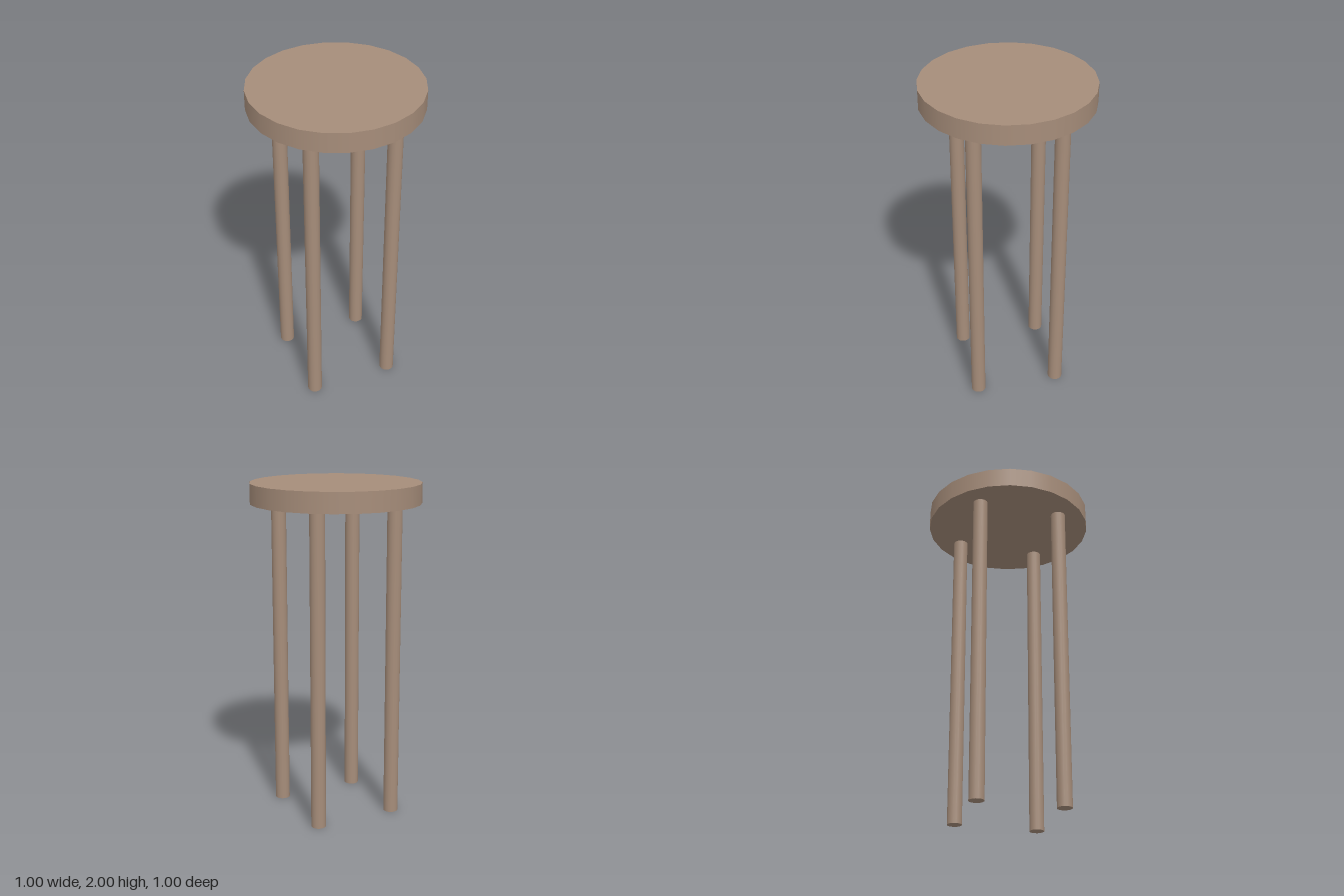
import * as THREE from 'three';

export function createModel() {
  const stool = new THREE.Group();
  stool.name = 'stool';
  const wood = new THREE.MeshStandardMaterial({ color: 0xa68d7a });

  const height = 2, seatThickness = 0.118, legHeight = height - seatThickness;
  const legOffset = 0.353;

  // Round seat
  const seat = new THREE.Mesh(new THREE.CylinderGeometry(0.5, 0.5, seatThickness, 24), wood);
  seat.name = 'seat';
  seat.position.y = height - seatThickness / 2;
  stool.add(seat);

  // Four straight legs: front, left, back, right
  const legGeometry = new THREE.CylinderGeometry(0.044, 0.044, legHeight, 16);
  ['frontLeg', 'leftLeg', 'backLeg', 'rightLeg'].forEach((name, i) => {
    const angle = (i * Math.PI) / 2;
    const leg = new THREE.Mesh(legGeometry, wood);
    leg.name = name;
    leg.position.set(Math.sin(angle) * legOffset, legHeight / 2, Math.cos(angle) * legOffset);
    stool.add(leg);
  });

  return stool;
}
